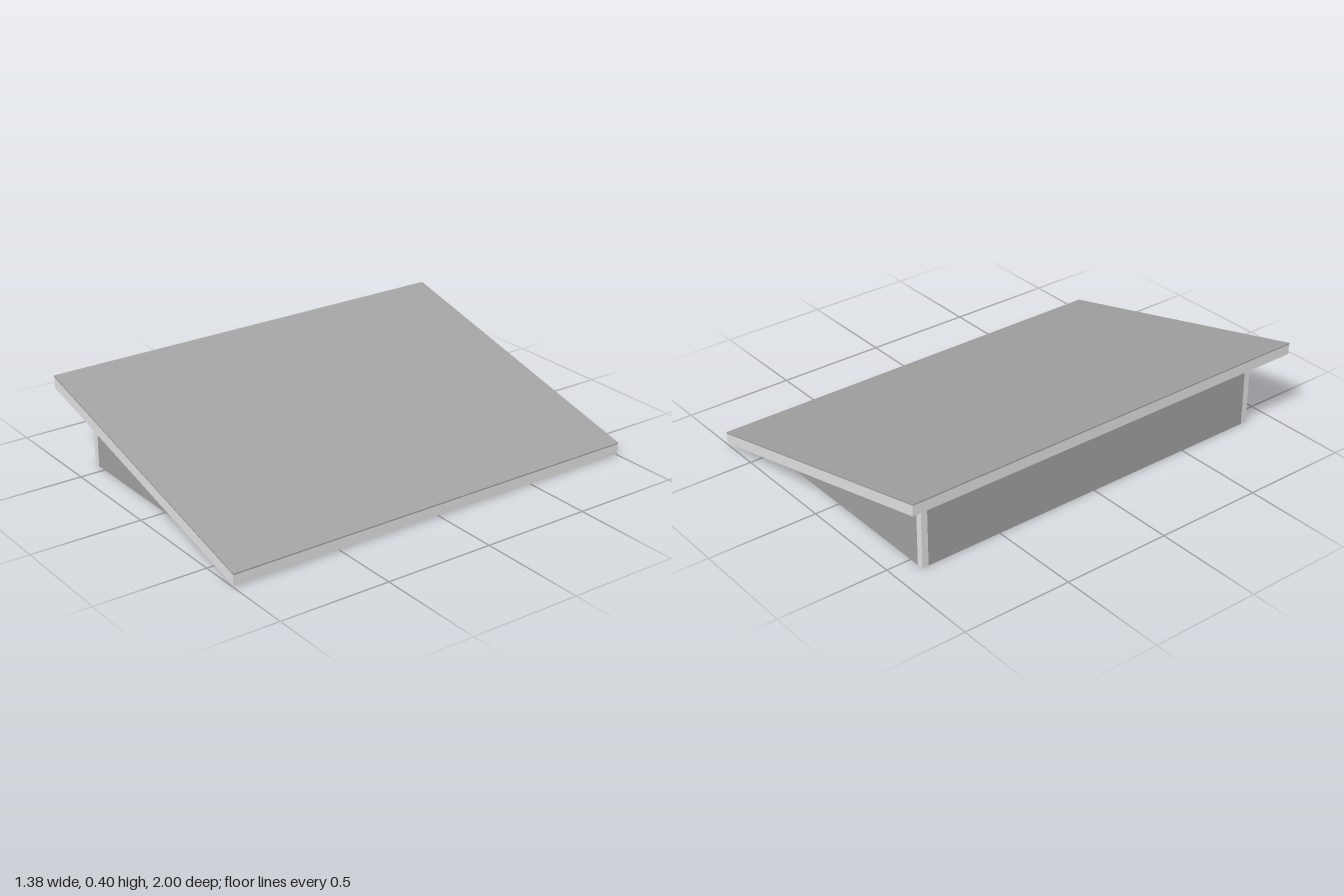
import * as THREE from 'three';

const W = 0.69, D = 1;                  // roof half width and half length
const X = 0.577, Z = 0.885, T = 0.03;   // wall outer half sizes and wall thickness
const SKIN = 0.008;                     // thickness of the dark cladding

// Heights of the sloping layers: ceiling, roof underside, slab top, covering top
const under = (x) => 0.177 - 0.25 * x;
const ceiling = (x) => under(x) - 0.036;
const top = (x) => under(x) + 0.049;
const cover = (x) => top(x) + 0.006;

const timber = new THREE.MeshStandardMaterial({ color: 0xe4e4e4 });
timber.name = 'light grey';
const cladding = new THREE.MeshStandardMaterial({ color: 0xa4a4a4 });
cladding.name = 'mid grey';

// Prism between two heights, running from z0 to z1
function prism(name, material, x0, x1, z0, z1, low = () => 0, high = under) {
  const shape = new THREE.Shape([
    new THREE.Vector2(x0, low(x0)), new THREE.Vector2(x1, low(x1)),
    new THREE.Vector2(x1, high(x1)), new THREE.Vector2(x0, high(x0)),
  ]);
  const geometry = new THREE.ExtrudeGeometry(shape, { depth: z1 - z0, bevelEnabled: false });
  geometry.translate(0, 0, z0);
  const mesh = new THREE.Mesh(geometry, material);
  mesh.name = name;
  return mesh;
}

export function createModel() {
  const model = new THREE.Group();
  model.name = 'leanToRoof';

  // Sloping roof slab with a thin covering, and the ceiling between the walls
  model.add(prism('roofSlab', timber, 0.003 - W, W - 0.003, -D, D, under, top));
  model.add(prism('roofCovering', cladding, -W, W, -D, D, top, cover));
  model.add(prism('ceiling', timber, T - X, X - T, T - Z, Z - T, ceiling, under));

  for (const s of [-1, 1]) {
    const span = (a, b) => [Math.min(s * a, s * b), Math.max(s * a, s * b)];
    const side = s < 0 ? 'high' : 'low';
    const end = s < 0 ? 'back' : 'front';

    // Long walls: light lining inside, dark cladding outside
    model.add(prism(side + 'WallLining', timber, ...span(X - T, X - SKIN), T - Z, Z - T));
    model.add(prism(side + 'WallCladding', cladding, ...span(X - SKIN, X), T - Z, Z - T));

    // Tapered end walls
    model.add(prism(end + 'WallLining', timber, T - X, X - T, ...span(Z - T, Z - SKIN)));
    model.add(prism(end + 'WallCladding', cladding, T - X, X - T, ...span(Z - SKIN, Z)));

    // Corner posts
    for (const x of [-X, X - T]) {
      model.add(prism(end + 'CornerPost', timber, x, x + T, ...span(Z - T, Z)));
    }
  }
  return model;
}
